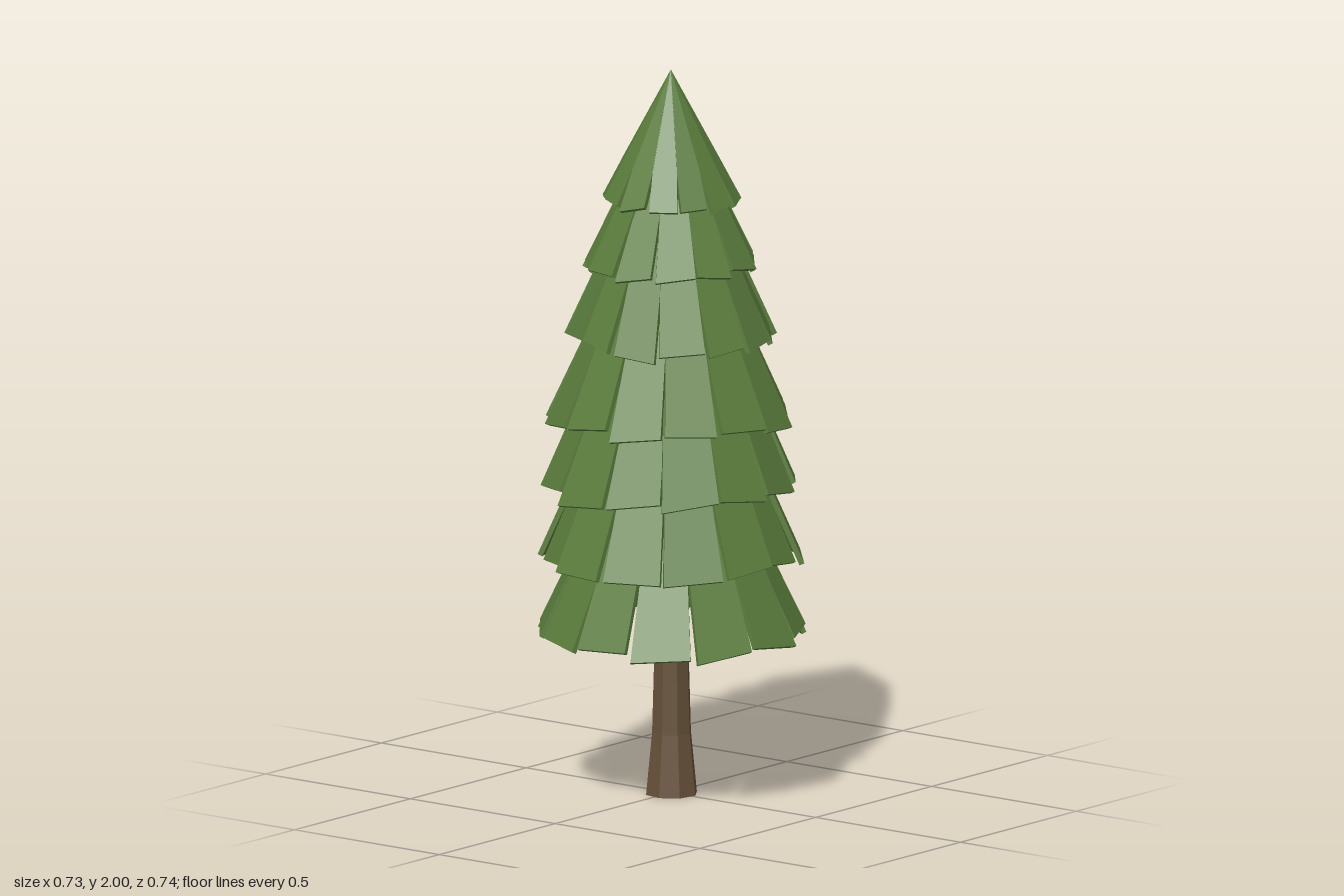
import * as THREE from 'three';
import { mergeGeometries } from 'three/addons/utils/BufferGeometryUtils.js';

const SLATS = 13;

// small seeded random in -amount..amount
let seed = 7;
function jitter(amount) {
  seed = (seed * 16807) % 2147483647;
  return (seed / 2147483647 * 2 - 1) * amount;
}

// One tapered bough: a flat slab hanging from a point on the trunk axis
function makeSlat(length, tilt, turn, part, fill) {
  const thick = 0.014;
  const sector = Math.sin(tilt) * Math.tan(Math.PI / SLATS);
  const split = length * part;              // boughs part from each other here
  const wMid = split * sector * 1.02;
  const wEnd = length * sector * (fill + jitter(0.04));
  const skew = jitter(0.012), lean = jitter(0.006);
  const shape = new THREE.Shape([
    new THREE.Vector2(0, 0),
    new THREE.Vector2(-wMid, -split),
    new THREE.Vector2(-wEnd + lean, -length - skew),
    new THREE.Vector2(wEnd + lean, -length + skew),
    new THREE.Vector2(wMid, -split),
  ]);
  const geo = new THREE.ExtrudeGeometry(shape, { depth: thick, bevelEnabled: false });
  geo.translate(0, 0, -thick);
  // close the slab to a point at its tip
  const p = geo.attributes.position;
  for (let i = 0; i < p.count; i++) if (p.getY(i) > -0.001) p.setZ(i, 0);
  geo.computeVertexNormals();
  geo.rotateX(-tilt);
  geo.rotateY(turn);
  geo.clearGroups();
  return geo;
}

export function createModel() {
  const needles = new THREE.MeshStandardMaterial({ color: 0x5b7d3d });
  needles.name = 'pine green';
  const bark = new THREE.MeshStandardMaterial({ color: 0x67523a });
  bark.name = 'bark brown';

  const tree = new THREE.Group();
  tree.name = 'pineTree';

  // Tiers from top to bottom:
  // [bottom height, bottom radius, radius per drop, split point, end width, first bough angle]
  const tiers = [
    [1.645, 0.185, 0.523, 0.7, 0.84, -3],
    [1.47, 0.231, 0.49, 0.64, 0.88, 7],
    [1.265, 0.276, 0.44, 0.64, 0.9, 10],
    [1.045, 0.321, 0.45, 0.64, 0.9, 14],
    [0.85, 0.338, 0.42, 0.64, 0.9, 14],
    [0.66, 0.346, 0.43, 0.64, 0.9, 14],
    [0.45, 0.36, 0.47, 0.62, 0.88, 0],
  ];
  tiers.forEach(([y, r, slope, part, fill, first], t) => {
    const tilt = Math.atan(slope);
    const length = r / Math.sin(tilt);
    const loose = t === 0 ? 0 : 0.012;      // the crown stays a closed cone
    const slats = [];
    for (let i = 0; i < SLATS; i++) {
      const turn = THREE.MathUtils.degToRad(first + i * 360 / SLATS) + jitter(loose);
      slats.push(makeSlat(length * (1 + jitter(0.018)), tilt + jitter(loose), turn, part, fill));
    }
    const tier = new THREE.Mesh(mergeGeometries(slats), needles);
    tier.name = 'boughTier' + (t + 1);
    tier.position.set(-0.008, y + r / slope, 0.006);
    tree.add(tier);
  });

  // Faceted trunk, flared at the foot
  const profile = [[0, 0], [0.072, 0], [0.055, 0.17], [0.047, 0.45], [0.035, 0.95], [0, 0.95]]
    .map(([x, y]) => new THREE.Vector2(x, y));
  const trunkGeo = new THREE.LatheGeometry(profile, 8, 0.2).toNonIndexed();
  trunkGeo.computeVertexNormals();
  const trunk = new THREE.Mesh(trunkGeo, bark);
  trunk.name = 'trunk';
  trunk.position.set(-0.004, 0, 0.005);
  tree.add(trunk);

  return tree;
}
